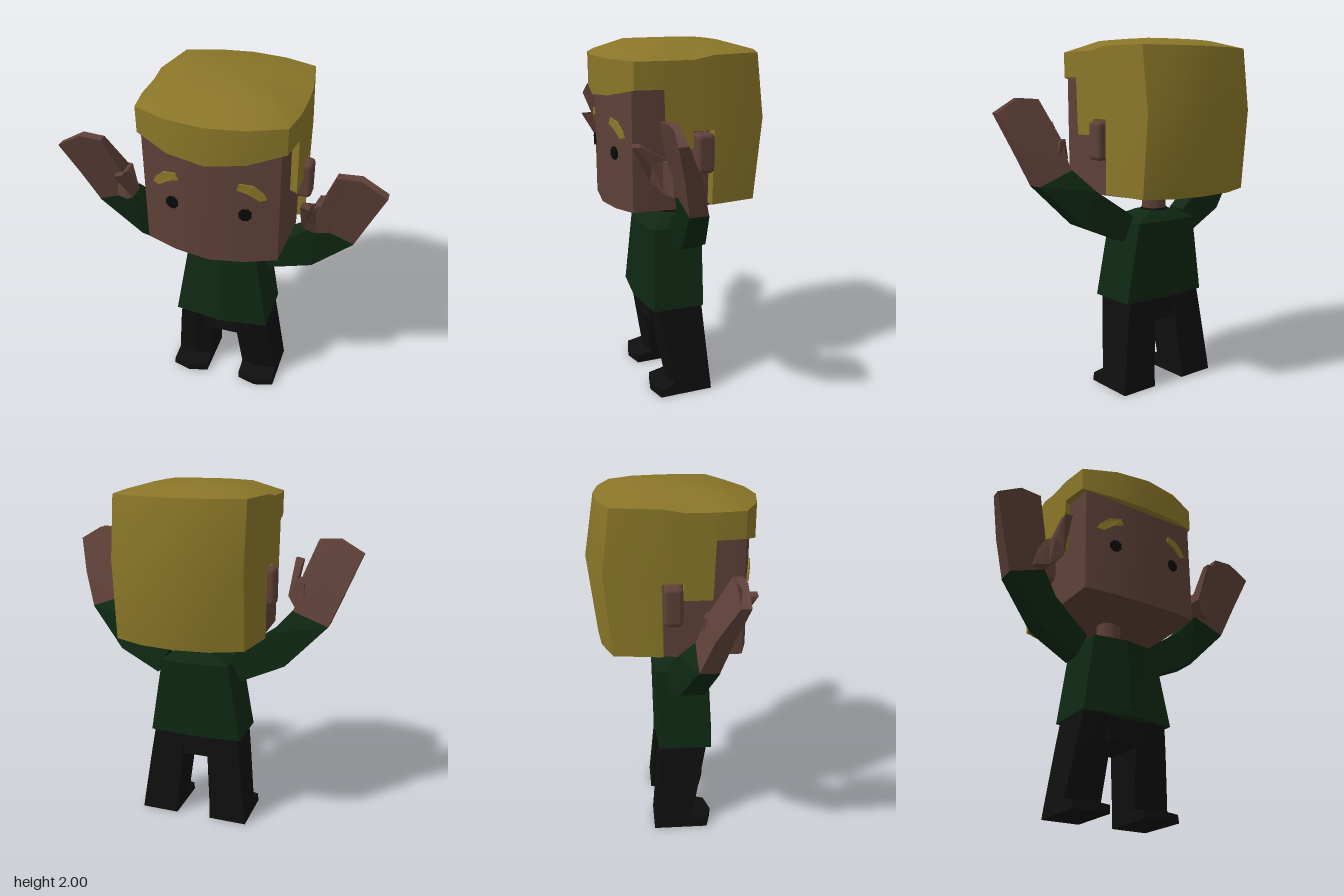
import * as THREE from 'three';
import { toCreasedNormals } from 'three/addons/utils/BufferGeometryUtils.js';
import { RoundedBoxGeometry } from 'three/addons/geometries/RoundedBoxGeometry.js';

const material = (name, color) => {
  const m = new THREE.MeshStandardMaterial({ color });
  m.name = name;
  return m;
};

// Closed skin through rings of [x, y, z] points, capped at both ends, facing outward
function loft(rings, crease = 0.1, side = 1) {
  const n = rings[0].length;
  const pts = rings.flat().map(([x, y, z]) => new THREE.Vector3(x * side, y, z));
  const index = [];
  for (let r = 0; r < rings.length - 1; r++) {
    for (let i = 0; i < n; i++) {
      const a = r * n + i, b = r * n + (i + 1) % n;
      index.push(a, b, b + n, a, b + n, a + n);
    }
  }
  for (const [start, flip] of [[0, true], [(rings.length - 1) * n, false]]) {
    const c = new THREE.Vector3();
    for (let i = 0; i < n; i++) c.addScaledVector(pts[start + i], 1 / n);
    pts.push(c);
    for (let i = 0; i < n; i++) {
      const a = start + i, b = start + (i + 1) % n;
      index.push(...(flip ? [b, a] : [a, b]), pts.length - 1);
    }
  }
  let volume = 0;
  for (let i = 0; i < index.length; i += 3) {
    const [a, b, c] = [0, 1, 2].map((k) => pts[index[i + k]]);
    volume += a.dot(new THREE.Vector3().crossVectors(b, c));
  }
  if (volume < 0) index.reverse();
  const g = new THREE.BufferGeometry().setFromPoints(pts);
  g.setIndex(index);
  return toCreasedNormals(g, crease);
}

// Completes a half outline (front centre to back centre) with its mirror
const mirrorLoop = (half) =>
  [...half, ...half.slice(1, -1).reverse().map(([x, ...rest]) => [-x, ...rest])];

// Ring from a row of [x, y] points given a front and a back depth
const slab = (row, zBack, zFront) => [
  ...row.map(([x, y]) => [x, y, zFront]),
  ...[...row].reverse().map(([x, y]) => [x, y, zBack]),
];

// Depth of the bowed face at x
const faceZ = (x) => {
  const a = Math.abs(x);
  return a < 0.19 ? 0.42 - a * 0.105 : 0.4 - (a - 0.19) * 0.265;
};

export function createModel() {
  const group = new THREE.Group();
  const skin = material('skin', 0x5e4038);
  const blond = material('blond hair', 0x8a7628);
  const green = material('green shirt', 0x0f2813);
  const black = material('black cloth', 0x0f0f0f);
  const eyeBlack = material('eye black', 0x0a0a0a);
  const add = (name, geometry, mat) => {
    const m = new THREE.Mesh(geometry, mat);
    m.name = name;
    group.add(m);
    return m;
  };

  // Head: bowed block with a slightly sagging underside
  const headLoop = mirrorLoop([[0, 0.42, 1.115], [0.19, 0.4, 1.127], [0.36, 0.355, 1.145],
    [0.375, 0, 1.145], [0.325, -0.3, 1.148], [0.18, -0.355, 1.145], [0, -0.37, 1.14]]);
  add('head', loft([headLoop.map(([x, z, y]) => [x, y, z]),
    headLoop.map(([x, z]) => [x, 1.86, z])], 0.35), skin);

  // Hair: outline columns [x, z, lower edge], stepped around the temples and ears
  const hairLoop = mirrorLoop([[0, 0.46, 1.715], [0.2, 0.43, 1.735], [0.385, 0.35, 1.78],
    [0.408, 0.2, 1.78], [0.408, 0.19, 1.47], [0.41, 0.04, 1.47], [0.41, 0.04, 1.56],
    [0.41, -0.075, 1.56], [0.41, -0.075, 1.16], [0.365, -0.37, 1.155],
    [0.19, -0.44, 1.15], [0, -0.465, 1.15]]);
  const bulge = (y) => (y < 1.6 ? 1 - (1.6 - y) * 0.255 : 1 - (y - 1.6) * 0.34);
  const hairRow = (height, scale = 1) => hairLoop.map(([x, z, low]) => {
    const y = Math.max(low, height + (z < 0 && height > 1.9 && scale === 1 ? 0.02 : 0));
    return [x * scale, y, z * scale * (z < 0 ? bulge(y) : 1)];
  });
  add('hair', loft([hairRow(0, 0.86), hairRow(0), hairRow(1.6), hairRow(1.92),
    hairRow(1.982, 0.62), hairLoop.map(() => [0, 2, 0])], 0.75), blond);

  // Neck and dark collar
  add('neck', new THREE.CylinderGeometry(0.07, 0.07, 0.17, 12), skin).position.set(0, 1.085, 0.02);
  add('collar', new THREE.CylinderGeometry(0.076, 0.085, 0.04, 12), black).position.set(0, 1.02, 0.02);

  // Shirt body
  const bodyRing = (y, w, front, frontCorner, backCorner, back) =>
    mirrorLoop([[0, y, front], [w, y, frontCorner], [w, y, backCorner], [0, y, back]]);
  add('shirt', loft([
    bodyRing(0.52, 0.277, 0.25, 0.215, -0.08, -0.1),
    bodyRing(0.975, 0.2, 0.22, 0.19, -0.095, -0.112),
    bodyRing(1.03, 0.085, 0.1, 0.09, -0.05, -0.06),
  ]), green);

  // Hips between the legs
  add('hips', new THREE.BoxGeometry(0.22, 0.145, 0.26), black).position.set(0, 0.4575, 0.06);

  const browShape = new THREE.Shape([[0.15, 1.58], [0.21, 1.56], [0.265, 1.52], [0.3, 1.53],
    [0.285, 1.56], [0.235, 1.605], [0.165, 1.615]].map(([x, y]) => new THREE.Vector2(x, y)));

  for (const side of [1, -1]) {
    const label = side > 0 ? 'left' : 'right';

    // Leg with a short pointed foot
    const legRing = (y, x0, x1, back, front, bow) => [[x0, y, back], [x1, y, back],
      [x1, y, front - bow], [(x0 + x1) / 2, y, front], [x0, y, front - bow]];
    add(label + 'Leg', loft([
      legRing(0, 0.105, 0.328, -0.115, 0.225, 0.03),
      legRing(0.045, 0.105, 0.322, -0.112, 0.225, 0.03),
      legRing(0.065, 0.104, 0.32, -0.11, 0.125, 0.02),
      legRing(0.385, 0.08, 0.277, -0.085, 0.185, 0.02),
      legRing(0.53, 0.07, 0.255, -0.075, 0.212, 0.02),
    ], 0.1, side), black);

    // Sleeve from shoulder over elbow to wrist
    add(label + 'Sleeve', loft([
      slab([[0.255, 0.87], [0.19, 1.01]], -0.025, 0.095),
      slab([[0.505, 0.98], [0.42, 1.17]], 0.01, 0.14),
      slab([[0.725, 1.21], [0.52, 1.285]], 0.085, 0.19),
    ], 0.1, side), green);

    // Open palm and thumb
    add(label + 'Hand', loft([
      slab([[0.725, 1.21], [0.63, 1.245], [0.525, 1.28]], 0.087, 0.187),
      slab([[0.8, 1.405], [0.67, 1.43], [0.55, 1.46]], 0.15, 0.24),
      slab([[0.872, 1.595], [0.738, 1.672], [0.62, 1.665]], 0.25, 0.302),
    ], 0.5, side), skin);
    add(label + 'Thumb', loft([
      slab([[0.6, 1.28], [0.57, 1.44]], 0.12, 0.22),
      slab([[0.525, 1.285], [0.525, 1.45]], 0.14, 0.25),
      slab([[0.465, 1.34], [0.515, 1.44]], 0.21, 0.3),
      slab([[0.47, 1.535], [0.515, 1.525]], 0.355, 0.4),
    ], 0.5, side), skin);

    // Ear
    add(label + 'Ear', new RoundedBoxGeometry(0.13, 0.21, 0.1, 2, 0.025), skin)
      .position.set(0.387 * side, 1.445, -0.015);

    // Eye disc
    const eye = add(label + 'Eye', new THREE.CylinderGeometry(0.036, 0.036, 0.009, 8)
      .rotateY(Math.PI / 8).rotateX(Math.PI / 2), eyeBlack);
    eye.position.set(0.195 * side, 1.432, 0.403);
    eye.rotation.y = 0.18 * side;

    // Eyebrow plate bent along the face
    const brow = new THREE.ExtrudeGeometry(
      side > 0 ? browShape : new THREE.Shape(browShape.getPoints().map((p) => new THREE.Vector2(-p.x, p.y))),
      { depth: 0.009, bevelEnabled: false });
    const pos = brow.attributes.position;
    for (let i = 0; i < pos.count; i++) pos.setZ(i, pos.getZ(i) + faceZ(pos.getX(i)) + 0.003);
    brow.computeVertexNormals();
    add(label + 'Eyebrow', brow, blond);
  }
  return group;
}
